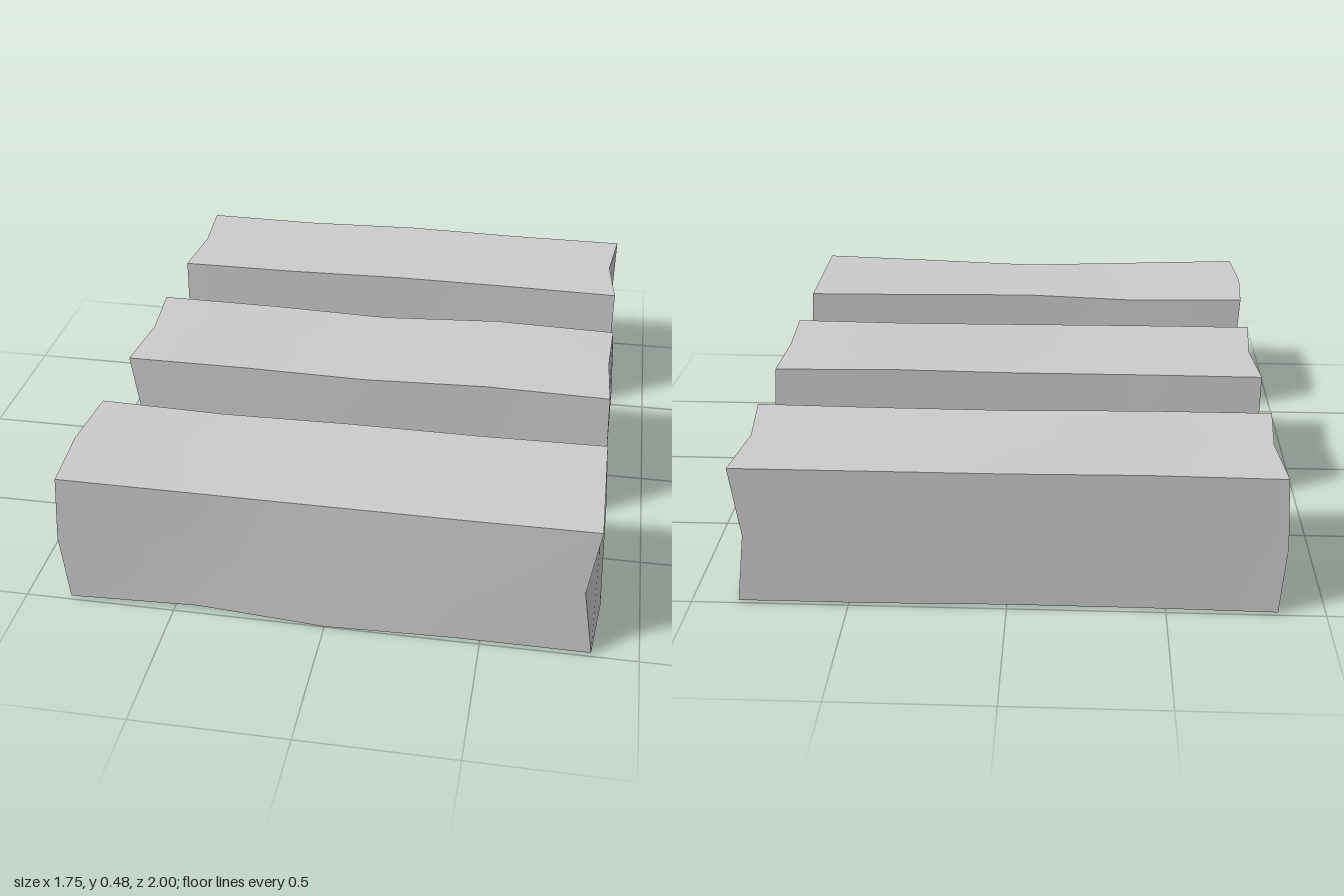
import * as THREE from 'three';

// Each beam: z range, inward/outward bow of its long edges and of its end edges.
// long edges (topFront, topBack, bottomFront, bottomBack): [dy, dz] at the three inner stations
// end edges (top, bottom, front, back): x shift of the midpoint, outward positive
const BEAMS = [
  {
    name: 'frontBeam', back: 0.522, front: 0.99,
    topFront: [[-0.01, -0.012], [-0.02, -0.024], [-0.01, -0.01]],
    topBack: [[-0.008, 0.003], [0.004, 0.012], [0, 0.008]],
    bottomFront: [[0.008, -0.01], [-0.006, 0.008], [0, 0]],
    bottomBack: [[0.004, 0], [0, 0.012], [0, 0.006]],
    right: [0, 0.022, -0.035, 0.015], left: [0.017, 0.012, 0.02, -0.01],
  },
  {
    name: 'middleBeam', back: -0.236, front: 0.232,
    topFront: [[0, 0], [-0.004, 0.004], [0, -0.012]],
    topBack: [[0, 0.004], [-0.005, 0.014], [0.007, -0.003]],
    bottomFront: [[0, 0], [0, 0.006], [0, -0.012]],
    bottomBack: [[0, 0.004], [0, 0.014], [0, -0.003]],
    right: [-0.01, 0.017, 0.008, 0.015], left: [-0.022, 0.025, -0.03, 0],
  },
  {
    name: 'backBeam', back: -0.993, front: -0.528,
    topFront: [[0, 0], [0, -0.014], [0, -0.01]],
    topBack: [[0, 0.008], [0.003, -0.006], [0, 0]],
    bottomFront: [[0, 0], [0, -0.014], [0, -0.01]],
    bottomBack: [[0, 0.008], [0.006, 0], [0, 0]],
    right: [-0.027, 0.022, 0, -0.03], left: [-0.02, 0.02, 0.005, 0.015],
  },
];

const HALF = 0.85, BOTTOM = 0.007, TOP = 0.476;

function makeBeam(b) {
  const geometry = new THREE.BoxGeometry(2, 2, 2, 4, 2, 2);
  const pos = geometry.attributes.position;
  const still = [0, 0];
  for (let i = 0; i < pos.count; i++) {
    const u = pos.getX(i), v = pos.getY(i), w = pos.getZ(i);
    const t = (v + 1) / 2, s = (w + 1) / 2;

    // bow of the long edges, blended across the section
    const station = Math.round((u + 1) * 2) - 1;
    const at = (edge) => b[edge][station] || still;
    const blend = (k) =>
      t * (s * at('topFront')[k] + (1 - s) * at('topBack')[k]) +
      (1 - t) * (s * at('bottomFront')[k] + (1 - s) * at('bottomBack')[k]);

    // bow of the end edges; corners stay put and the face centre takes the mean
    let dx = 0;
    if (Math.abs(u) === 1) {
      const [top, bottom, front, back] = u > 0 ? b.right : b.left;
      if (v === 0 && w === 0) dx = (top + bottom + front + back) / 4;
      else if (w === 0) dx = v > 0 ? top : bottom;
      else if (v === 0) dx = w > 0 ? front : back;
    }
    pos.setXYZ(i,
      u * HALF + Math.sign(u) * dx,
      THREE.MathUtils.lerp(BOTTOM, TOP, t) + blend(0),
      THREE.MathUtils.lerp(b.back, b.front, s) + blend(1));
  }
  geometry.computeVertexNormals(); // smooth within a face, sharp between faces
  const mesh = new THREE.Mesh(geometry, new THREE.MeshStandardMaterial({ color: 0xcccccc }));
  mesh.name = b.name;
  return mesh;
}

export function createModel() {
  const group = new THREE.Group();
  group.name = 'beams';
  for (const b of BEAMS) group.add(makeBeam(b));
  return group;
}
